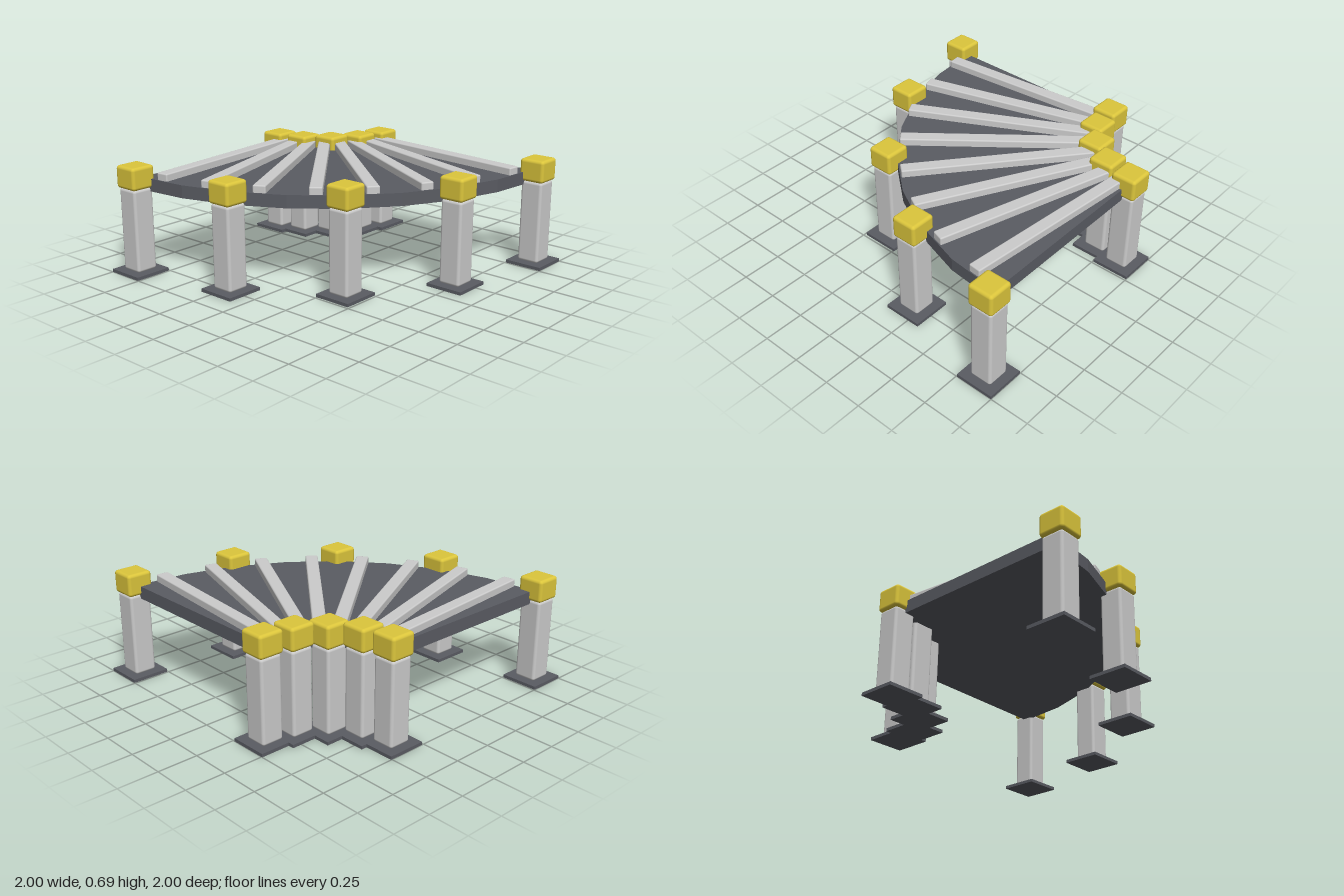
import * as THREE from 'three';
import { RoundedBoxGeometry } from 'three/addons/geometries/RoundedBoxGeometry.js';

const CORNER = -0.878; // centre of the quarter arc, in x and z
const DECK_BOTTOM = 0.52, DECK_TOP = 0.6;
const STEP = Math.PI / 16; // one deck bay

const grey = new THREE.MeshStandardMaterial({ color: 0xcccccc });
const dark = new THREE.MeshStandardMaterial({ color: 0x5a5c63 });
const yellow = new THREE.MeshStandardMaterial({ color: 0xdcc63c });

const onArc = (r, a) => [CORNER + r * Math.cos(a), CORNER + r * Math.sin(a)];

function addMesh(parent, name, geometry, material, x, y, z) {
  const mesh = new THREE.Mesh(geometry, material);
  mesh.name = name;
  mesh.position.set(x, y, z);
  parent.add(mesh);
  return mesh;
}

// Faceted quarter-ring slab
function deckGeometry(inner, outer) {
  const points = [];
  for (let i = 0; i <= 8; i++) points.push(onArc(outer, i * STEP));
  for (let i = 8; i >= 0; i -= 2) points.push(onArc(inner, i * STEP));
  const shape = new THREE.Shape(points.map(([x, z]) => new THREE.Vector2(x, z)));
  const geometry = new THREE.ExtrudeGeometry(shape, { depth: DECK_TOP - DECK_BOTTOM, bevelEnabled: false });
  return geometry.rotateX(Math.PI / 2);
}

export function createModel() {
  const model = new THREE.Group();
  model.name = 'curvedPlatform';

  addMesh(model, 'deck', deckGeometry(0.5, 1.71), dark, 0, DECK_TOP, 0);

  // Radial slats, one per bay
  const slatStart = 0.5, slatEnd = 1.695;
  const slatGeo = new RoundedBoxGeometry(slatEnd - slatStart, 0.055, 0.08, 2, 0.009);
  for (let i = 0; i < 8; i++) {
    const a = (i + 0.5) * STEP;
    const [x, z] = onArc((slatStart + slatEnd) / 2, a);
    addMesh(model, 'slat', slatGeo, grey, x, 0.6185, z).rotation.y = -a;
  }

  // Square posts with foot plates and caps along both arcs
  const footGeo = new THREE.BoxGeometry(0.244, 0.02, 0.244);
  const postGeo = new RoundedBoxGeometry(0.144, 0.525, 0.144, 3, 0.018);
  const capGeo = new RoundedBoxGeometry(0.165, 0.142, 0.165, 3, 0.02);
  for (const [name, radius] of [['innerPost', 0.494], ['outerPost', 1.756]]) {
    for (let i = 0; i < 5; i++) {
      const [x, z] = onArc(radius, i * 2 * STEP);
      const post = new THREE.Group();
      post.name = name;
      post.position.set(x, 0, z);
      addMesh(post, 'foot', footGeo, dark, 0, 0.01, 0);
      addMesh(post, 'shaft', postGeo, grey, 0, 0.2825, 0);
      addMesh(post, 'cap', capGeo, yellow, 0, 0.615, 0);
      model.add(post);
    }
  }
  return model;
}
